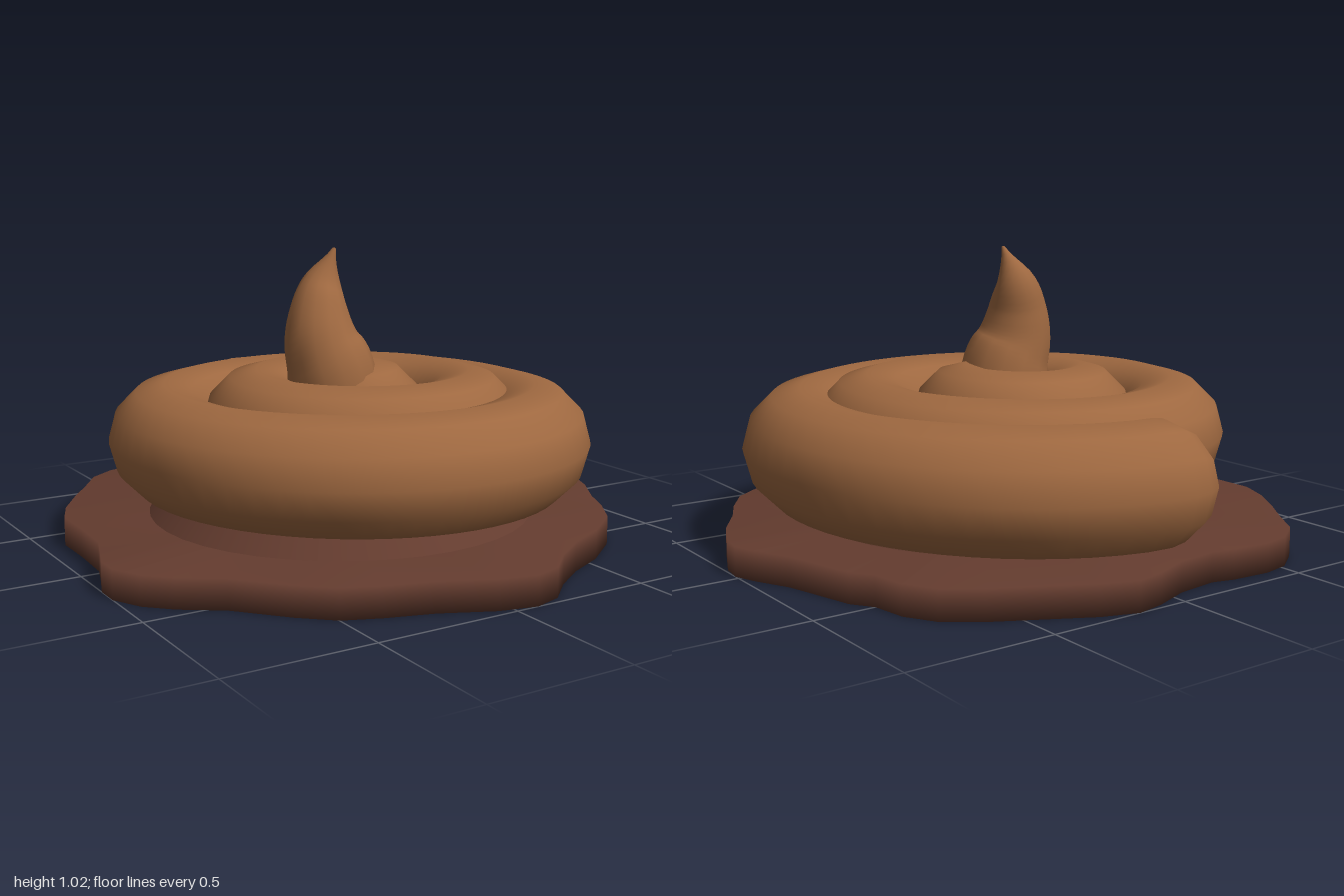
import * as THREE from 'three';

const brown = new THREE.MeshStandardMaterial({ name: 'warm brown', color: 0x9e6840 });
const dark = new THREE.MeshStandardMaterial({ name: 'dark brown', color: 0x643c2f });

// Sweeps a round section along rings of { p: centre, r: radius }
function sweep(rings, sides, ref) {
  const pos = [], index = [];
  rings.forEach(({ p, r }, i) => {
    const a = rings[Math.max(i - 1, 0)].p, b = rings[Math.min(i + 1, rings.length - 1)].p;
    const t = b.clone().sub(a).normalize();
    const side = t.clone().cross(ref).normalize();
    const up = side.clone().cross(t);
    for (let j = 0; j < sides; j++) {
      const ang = (j / sides) * Math.PI * 2;
      const v = p.clone().addScaledVector(side, r * Math.cos(ang)).addScaledVector(up, r * Math.sin(ang));
      pos.push(v.x, v.y, v.z);
      if (i < rings.length - 1) {
        const k = (j + 1) % sides, n = i * sides, m = n + sides;
        index.push(n + j, m + j, n + k, m + j, m + k, n + k);
      }
    }
  });
  return indexed(pos, index);
}

function indexed(pos, index) {
  const g = new THREE.BufferGeometry();
  g.setAttribute('position', new THREE.Float32BufferAttribute(pos, 3));
  g.setIndex(index);
  g.computeVertexNormals();
  return g;
}

function part(name, geometry, material) {
  const mesh = new THREE.Mesh(geometry, material);
  mesh.name = name;
  return mesh;
}

// Flat spiral coil: keys every quarter turn hold distance from centre, height, thickness
function coilGeometry() {
  const keys = new THREE.CatmullRomCurve3([
    [0.79, 0.318, 0.21], [0.70, 0.34, 0.202], [0.64, 0.355, 0.2], [0.648, 0.372, 0.192],
    [0.57, 0.378, 0.19], [0.475, 0.395, 0.19], [0.38, 0.405, 0.19], [0.325, 0.415, 0.188],
    [0.265, 0.425, 0.187], [0.12, 0.435, 0.185], [0.05, 0.435, 0.175],
  ].map(k => new THREE.Vector3(...k)), false, 'catmullrom');
  const at = (deg, scale) => {
    const k = keys.getPoint(THREE.MathUtils.clamp(deg / 900, 0, 1));
    const a = THREE.MathUtils.degToRad(deg);
    return { p: new THREE.Vector3(k.x * Math.sin(a), k.y, -k.x * Math.cos(a)), r: k.z * scale };
  };
  const rings = [];
  // Rounded outer end
  for (let i = 0; i < 6; i++) {
    const phi = (i / 6) * Math.PI / 2;
    rings.push(at(-3 - 14.5 * Math.cos(phi), Math.max(Math.sin(phi), 0.001)));
  }
  for (let deg = -3; deg <= 897; deg += 6) rings.push(at(deg, 1));
  return sweep(rings, 12, new THREE.Vector3(0, 1, 0));
}

// Curved, tapering peak
function peakGeometry() {
  const path = new THREE.CatmullRomCurve3([
    [-0.03, 0.45, 0.0], [-0.055, 0.6, 0.0], [-0.083, 0.7, -0.015],
    [-0.08, 0.8, -0.035], [-0.055, 0.9, -0.055], [-0.02, 1.02, -0.03],
  ].map(p => new THREE.Vector3(...p)), false, 'catmullrom');
  const radii = new THREE.SplineCurve(
    [0.16, 0.155, 0.132, 0.105, 0.07, 0.006].map((r, i) => new THREE.Vector2(i, r)));
  const rings = [];
  for (let i = 0; i <= 24; i++) rings.push({ p: path.getPoint(i / 24), r: radii.getPoint(i / 24).y });
  rings.push({ p: new THREE.Vector3(-0.019, 1.022, -0.03), r: 0.0005 });
  return sweep(rings, 14, new THREE.Vector3(0, 0, 1));
}

// Wavy flat puddle, softly shaded over its rim
function puddleGeometry() {
  const outline = [
    [1, 0.02], [0.97, -0.06], [0.91, -0.18], [0.89, -0.25], [0.84, -0.43], [0.79, -0.5],
    [0.77, -0.62], [0.71, -0.72], [0.6, -0.8], [0.45, -0.88], [0.3, -0.96], [0.18, -1],
    [0.08, -0.98], [-0.05, -0.93], [-0.2, -0.91], [-0.28, -0.93], [-0.42, -0.94], [-0.52, -0.92],
    [-0.62, -0.85], [-0.7, -0.73], [-0.78, -0.62], [-0.87, -0.48], [-0.92, -0.36], [-0.92, -0.2],
    [-0.93, -0.02], [-0.96, 0.07], [-1, 0.18], [-1, 0.27], [-0.95, 0.37], [-0.87, 0.45],
    [-0.74, 0.54], [-0.6, 0.7], [-0.5, 0.79], [-0.38, 0.84], [-0.22, 0.89], [-0.05, 0.97],
    [0.08, 1], [0.18, 0.97], [0.28, 0.88], [0.4, 0.8], [0.55, 0.73], [0.7, 0.62],
    [0.78, 0.5], [0.84, 0.38], [0.93, 0.24], [0.99, 0.1],
  ];
  const n = outline.length, pos = [], index = [];
  // Rings of [scale, height] from the bottom centre round to the top centre
  const levels = [[0.001, 0], [1, 0], [1, 0.1], [0.001, 0.1]];
  levels.forEach(([s, y], i) => outline.forEach(([x, z], j) => {
    pos.push(x * s, y, z * s);
    if (i < levels.length - 1) {
      const k = (j + 1) % n, a = i * n, b = a + n;
      index.push(a + j, a + k, b + j, a + k, b + k, b + j);
    }
  }));
  return indexed(pos, index);
}

export function createModel() {
  const model = new THREE.Group();
  model.name = 'swirl on puddle';
  model.add(part('puddle', puddleGeometry(), dark));

  // Sloping mound under the coil
  const mound = part('mound', new THREE.CylinderGeometry(0.52, 0.69, 0.18, 40), dark);
  mound.position.set(-0.01, 0.18, -0.01);
  model.add(mound);

  model.add(part('coil', coilGeometry(), brown));
  model.add(part('peak', peakGeometry(), brown));
  return model;
}
